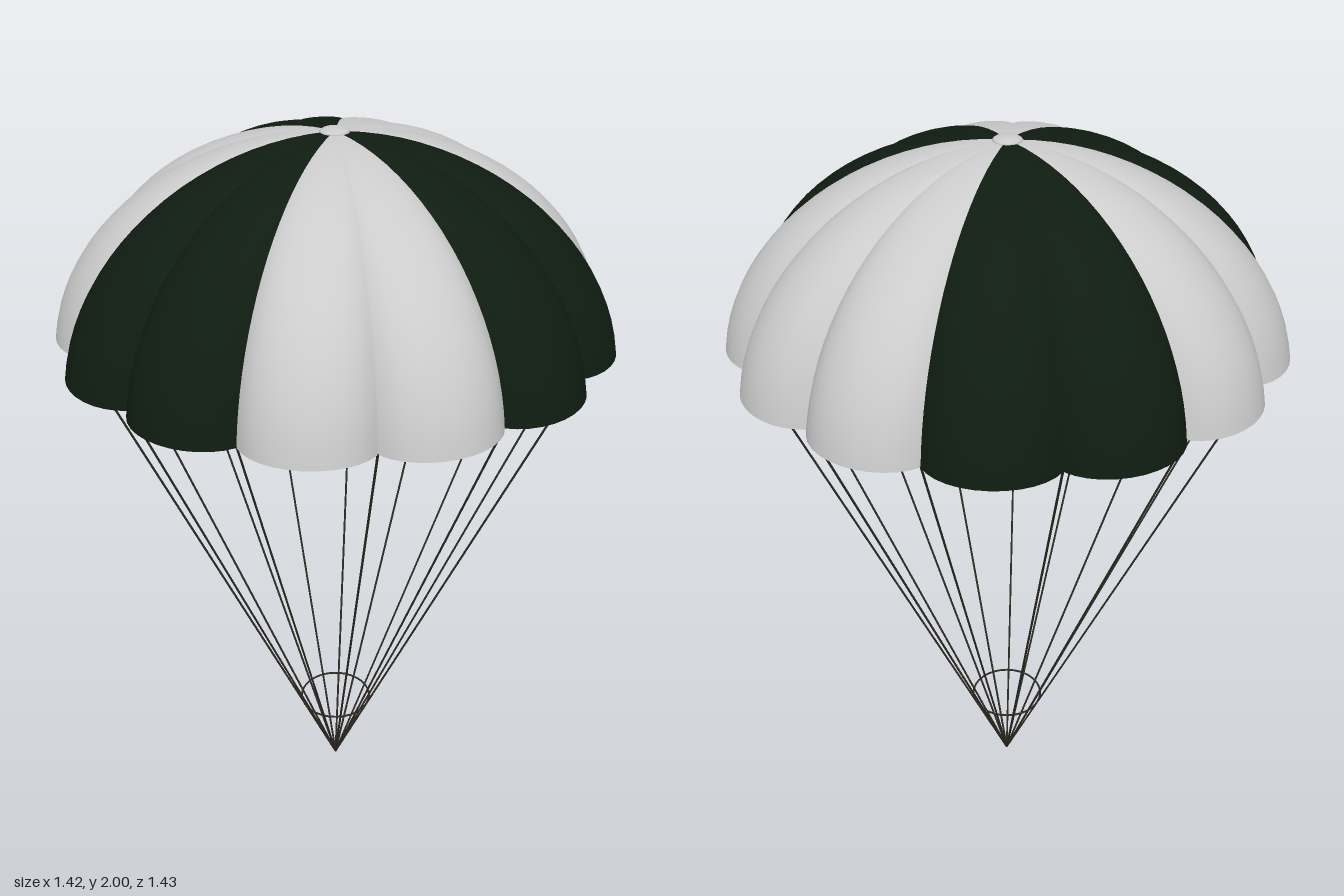
import * as THREE from 'three';

const GORES = 13;
const STEP = (Math.PI * 2) / GORES;
const RIM_Y = 1.47, RIM_R = 0.72, SEAM_R = 0.654;
const DARK_GORES = [0, 1, 4, 5, 8, 9];

// One cloth panel: an elliptical dome profile swept across a bulging arc
function goreGeometry(rows = 20, cols = 12) {
  const centreY = 1.4, b = 0.59;
  const phiMax = Math.acos((RIM_Y - centreY) / b);
  const a = RIM_R / Math.sin(phiMax);
  const chord = SEAM_R * Math.cos(STEP / 2);
  const half = SEAM_R * Math.sin(STEP / 2);
  const arc = 1.22; // half angle of the bulging cross-section
  const pos = [], index = [];
  for (let i = 0; i <= rows; i++) {
    const phi = 0.03 + (phiMax - 0.03) * (i / rows);
    const s = (a * Math.sin(phi)) / RIM_R;
    for (let j = 0; j <= cols; j++) {
      const t = arc * ((2 * j) / cols - 1);
      const bulge = (Math.cos(t) - Math.cos(arc)) / (1 - Math.cos(arc));
      pos.push(
        chord * s + (RIM_R - chord) * Math.pow(s, 1.15) * bulge,
        centreY + b * Math.cos(phi),
        (half * s * Math.sin(t)) / Math.sin(arc)
      );
      if (i < rows && j < cols) {
        const p = i * (cols + 1) + j, q = p + cols + 1;
        index.push(p, p + 1, q, p + 1, q + 1, q);
      }
    }
  }
  const geo = new THREE.BufferGeometry();
  geo.setAttribute('position', new THREE.Float32BufferAttribute(pos, 3));
  geo.setIndex(index);
  geo.computeVertexNormals();
  return geo;
}

export function createModel() {
  const model = new THREE.Group();
  model.name = 'parachute';
  const light = new THREE.MeshStandardMaterial({ color: 0xcccccc, side: THREE.DoubleSide });
  const dark = new THREE.MeshStandardMaterial({ color: 0x0f1c10, side: THREE.DoubleSide });
  const cord = new THREE.MeshStandardMaterial({ color: 0x2e2a24 });

  // Canopy panels, each turned about the axis
  const canopy = new THREE.Group();
  canopy.name = 'canopy';
  const gore = goreGeometry();
  for (let k = 0; k < GORES; k++) {
    const panel = new THREE.Mesh(gore, DARK_GORES.includes(k) ? dark : light);
    panel.name = 'canopyPanel';
    panel.rotation.y = -k * STEP;
    canopy.add(panel);
  }
  model.add(canopy);

  // Flattened button over the apex
  const cap = new THREE.Mesh(new THREE.SphereGeometry(0.037, 24, 12), light);
  cap.name = 'apexCap';
  cap.scale.y = 0.3;
  cap.position.y = 1.989;
  model.add(cap);

  // Suspension lines from each seam down to one point
  const lines = new THREE.Group();
  lines.name = 'suspensionLines';
  for (let k = 0; k < GORES; k++) {
    const angle = (k + 0.5) * STEP;
    const path = new THREE.LineCurve3(
      new THREE.Vector3(0, 0.002, 0),
      new THREE.Vector3(SEAM_R * Math.cos(angle), RIM_Y + 0.005, SEAM_R * Math.sin(angle))
    );
    const line = new THREE.Mesh(new THREE.TubeGeometry(path, 1, 0.003, 6), cord);
    line.name = 'suspensionLine';
    lines.add(line);
  }
  model.add(lines);

  // Ring gathering the lines near the bottom
  const ring = new THREE.Mesh(new THREE.TorusGeometry(0.103, 0.003, 6, 48), cord);
  ring.name = 'lineRing';
  ring.rotation.x = Math.PI / 2;
  ring.position.y = 0.235;
  model.add(ring);

  // Odd panel count: shift so the outline is centred
  for (const part of model.children) part.position.x = -0.011;
  return model;
}
